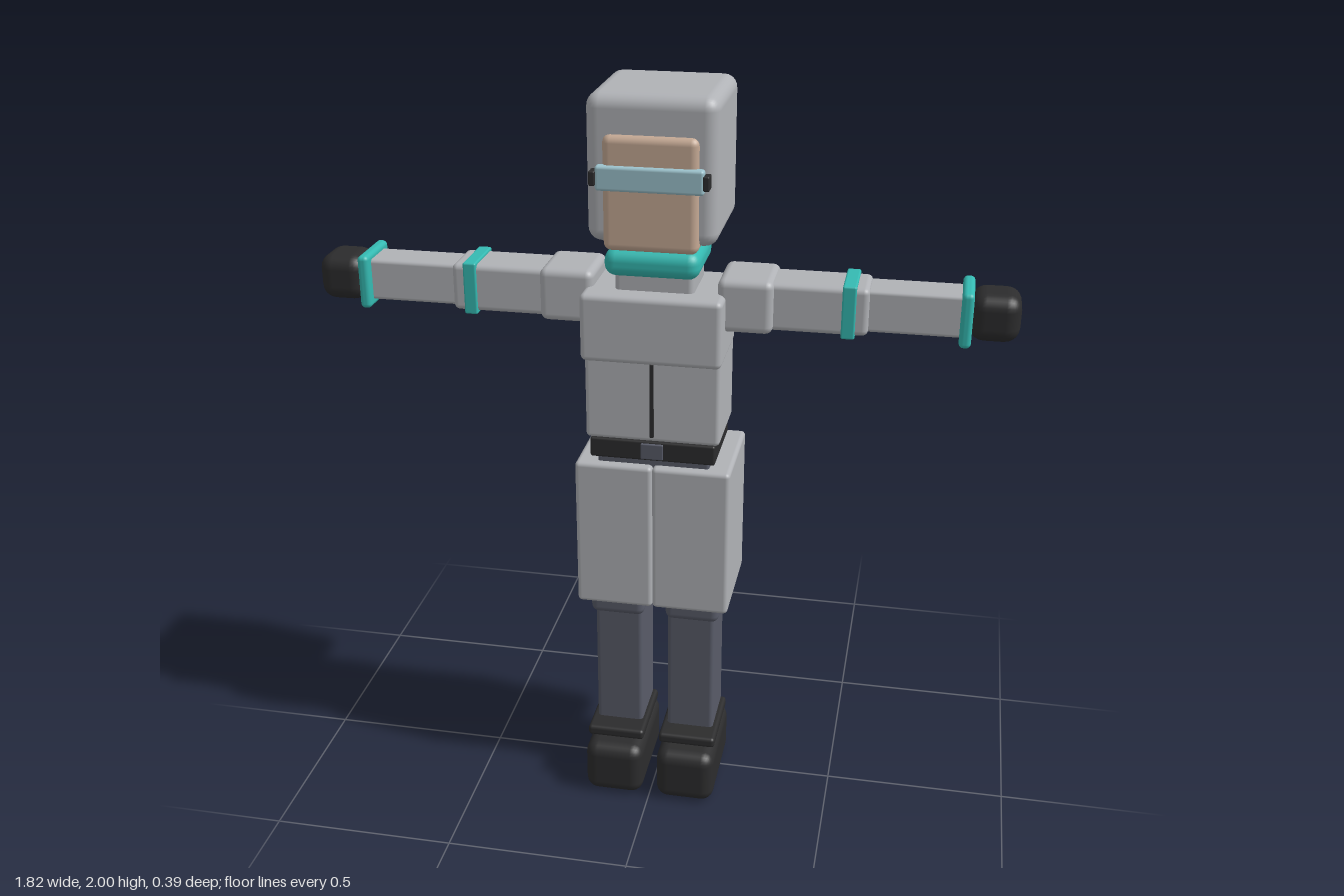
import * as THREE from 'three';
import { RoundedBoxGeometry } from 'three/addons/geometries/RoundedBoxGeometry.js';

const mat = (name, color) => {
  const m = new THREE.MeshStandardMaterial({ color });
  m.name = name;
  return m;
};

export function createModel() {
  const cloth = mat('grey cloth', 0xb0b2b6);
  const dark = mat('black leather', 0x2c2c2d);
  const slate = mat('slate trousers', 0x585b68);
  const teal = mat('teal trim', 0x35bab2);
  const skin = mat('skin', 0xc6aa95);
  const glass = mat('pale blue visor', 0x9dc3cd);

  const model = new THREE.Group();
  model.name = 'hoodedFigure';

  // Rounded box given by its [min, max] range on each axis
  const box = (parent, name, material, [x0, x1], [y0, y1], [z0, z1], radius = 0.01) => {
    const size = [x1 - x0, y1 - y0, z1 - z0];
    const r = Math.min(radius, Math.min(...size) * 0.49);
    const mesh = new THREE.Mesh(new RoundedBoxGeometry(...size, 3, r), material);
    mesh.position.set((x0 + x1) / 2, (y0 + y1) / 2, (z0 + z1) / 2);
    mesh.name = name;
    parent.add(mesh);
  };
  const group = (name) => {
    const g = new THREE.Group();
    g.name = name;
    model.add(g);
    return g;
  };

  // Head
  const head = group('head');
  box(head, 'hood', cloth, [-0.165, 0.165], [1.63, 2], [-0.197, 0.13], 0.035);
  box(head, 'face', skin, [-0.12, 0.12], [1.615, 1.905], [-0.13, 0.146], 0.02);
  box(head, 'visor', glass, [-0.135, 0.135], [1.77, 1.832], [0.13, 0.158], 0.008);
  for (const s of [-1, 1]) {
    const x = [s * 0.141 - 0.008, s * 0.141 + 0.008];
    box(head, 'visorClip', dark, x, [1.783, 1.82], [0.128, 0.163], 0.004);
  }

  // Torso
  const torso = group('torso');
  box(torso, 'scarf', teal, [-0.122, 0.122], [1.545, 1.615], [-0.08, 0.14], 0.03);
  box(torso, 'neck', cloth, [-0.102, 0.102], [1.48, 1.58], [-0.075, 0.095], 0.015);
  box(torso, 'jacket', cloth, [-0.178, 0.178], [1.095, 1.5], [-0.1, 0.125], 0.012);
  box(torso, 'chestYoke', cloth, [-0.183, 0.183], [1.32, 1.5], [-0.085, 0.153], 0.015);
  box(torso, 'zip', dark, [-0.005, 0.005], [1.11, 1.315], [0.122, 0.131], 0.001);
  box(torso, 'belt', dark, [-0.167, 0.167], [1.04, 1.095], [-0.1, 0.125], 0.006);
  box(torso, 'buckle', slate, [-0.03, 0.03], [1.046, 1.09], [0.122, 0.131], 0.003);
  box(torso, 'hips', slate, [-0.15, 0.15], [0.98, 1.045], [-0.09, 0.11], 0.008);

  for (const s of [-1, 1]) {
    const side = s > 0 ? 'left' : 'right';
    const span = (a, b) => (s > 0 ? [a, b] : [-b, -a]);
    const mid = 0.004;
    const depth = (h) => [mid - h, mid + h];

    // Arm held straight out
    const arm = group(side + 'Arm');
    box(arm, 'shoulder', cloth, span(0.16, 0.302), [1.4, 1.54], depth(0.088), 0.02);
    box(arm, 'upperArm', cloth, span(0.28, 0.54), [1.407, 1.532], depth(0.069), 0.015);
    box(arm, 'armBand', teal, span(0.473, 0.508), [1.4, 1.539], depth(0.075), 0.005);
    box(arm, 'forearm', cloth, span(0.53, 0.785), [1.415, 1.525], depth(0.054), 0.01);
    box(arm, 'cuff', teal, span(0.765, 0.795), [1.397, 1.54], depth(0.08), 0.012);
    box(arm, 'glove', dark, span(0.787, 0.912), [1.408, 1.53], depth(0.067), 0.038);

    // Leg with coat panel and boot
    const leg = group(side + 'Leg');
    box(leg, 'coatPanel', cloth, span(0, 0.209), [0.597, 1.022], [-0.16, 0.135], 0.012);
    box(leg, 'knee', slate, span(0.03, 0.18), [0.545, 0.64], [-0.088, 0.105], 0.02);
    box(leg, 'shin', slate, span(0.036, 0.168), [0.14, 0.57], [-0.075, 0.095], 0.012);
    box(leg, 'bootStrap', dark, span(0.022, 0.183), [0.164, 0.194], [-0.072, 0.155], 0.01);
    box(leg, 'boot', dark, span(0.02, 0.185), [0, 0.156], [-0.108, 0.198], 0.035);
  }
  return model;
}
